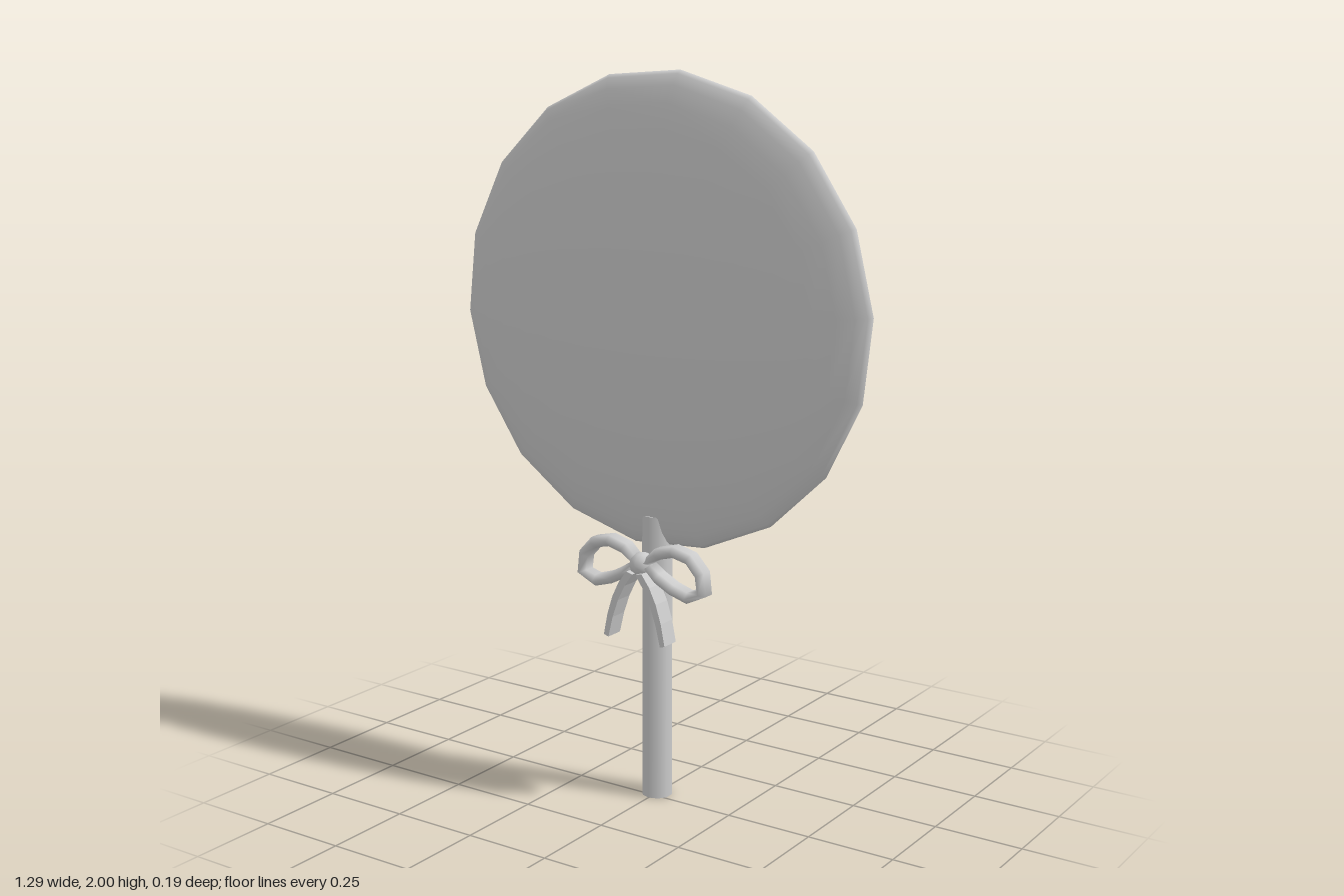
import * as THREE from 'three';

const material = new THREE.MeshStandardMaterial({ color: 0xcccccc });

function addMesh(parent, name, geometry) {
  const mesh = new THREE.Mesh(geometry, material);
  mesh.name = name;
  parent.add(mesh);
  return mesh;
}

// Ribbon loop: closed tube, wider in depth than in the front view
function loopGeometry(side) {
  const points = [
    [0.015, 0.69], [0.085, 0.735], [0.155, 0.725], [0.195, 0.675],
    [0.193, 0.63], [0.15, 0.617], [0.075, 0.645],
  ].map(([x, y]) => new THREE.Vector3(x * side, y, 0));
  const curve = new THREE.CatmullRomCurve3(points, true);
  return new THREE.TubeGeometry(curve, 9, 0.018, 6, true);
}

// Ribbon tail: thin curved strip, extruded in depth
function tailGeometry(side) {
  const shape = new THREE.Shape();
  shape.moveTo(0.005 * side, 0.665);
  shape.quadraticCurveTo(0.06 * side, 0.6, 0.085 * side, 0.475);
  shape.lineTo(0.1 * side, 0.48);
  shape.quadraticCurveTo(0.08 * side, 0.61, 0.025 * side, 0.67);
  const geometry = new THREE.ExtrudeGeometry(shape, {
    depth: 0.055, bevelEnabled: false, curveSegments: 4,
  });
  return geometry.translate(0, 0, 0.038);
}

export function createModel() {
  const model = new THREE.Group();
  model.name = 'lollipop';

  // Candy disc: flattened sphere with an 18-sided outline, poles facing front and back
  const disc = new THREE.SphereGeometry(1, 18, 18);
  disc.rotateX(Math.PI / 2).rotateZ(THREE.MathUtils.degToRad(3.7));
  disc.scale(0.646, 0.641, 0.074);
  addMesh(model, 'candyDisc', disc).position.set(0, 1.36, -0.02);

  // Stick, its top breaking through both faces near the rim
  const stick = new THREE.CylinderGeometry(0.043, 0.043, 0.81, 10);
  addMesh(model, 'stick', stick).position.set(0, 0.405, -0.02);

  // Bow
  const bow = new THREE.Group();
  bow.name = 'bow';
  model.add(bow);
  for (const side of [1, -1]) {
    const label = side > 0 ? 'left' : 'right';
    const loop = addMesh(bow, label + 'Loop', loopGeometry(side));
    loop.position.z = 0.047;
    loop.scale.z = 1.75;
    addMesh(bow, label + 'Tail', tailGeometry(side));
  }
  const knot = addMesh(bow, 'knot', new THREE.SphereGeometry(0.035, 8, 6));
  knot.position.set(0, 0.685, 0.054);
  return model;
}
